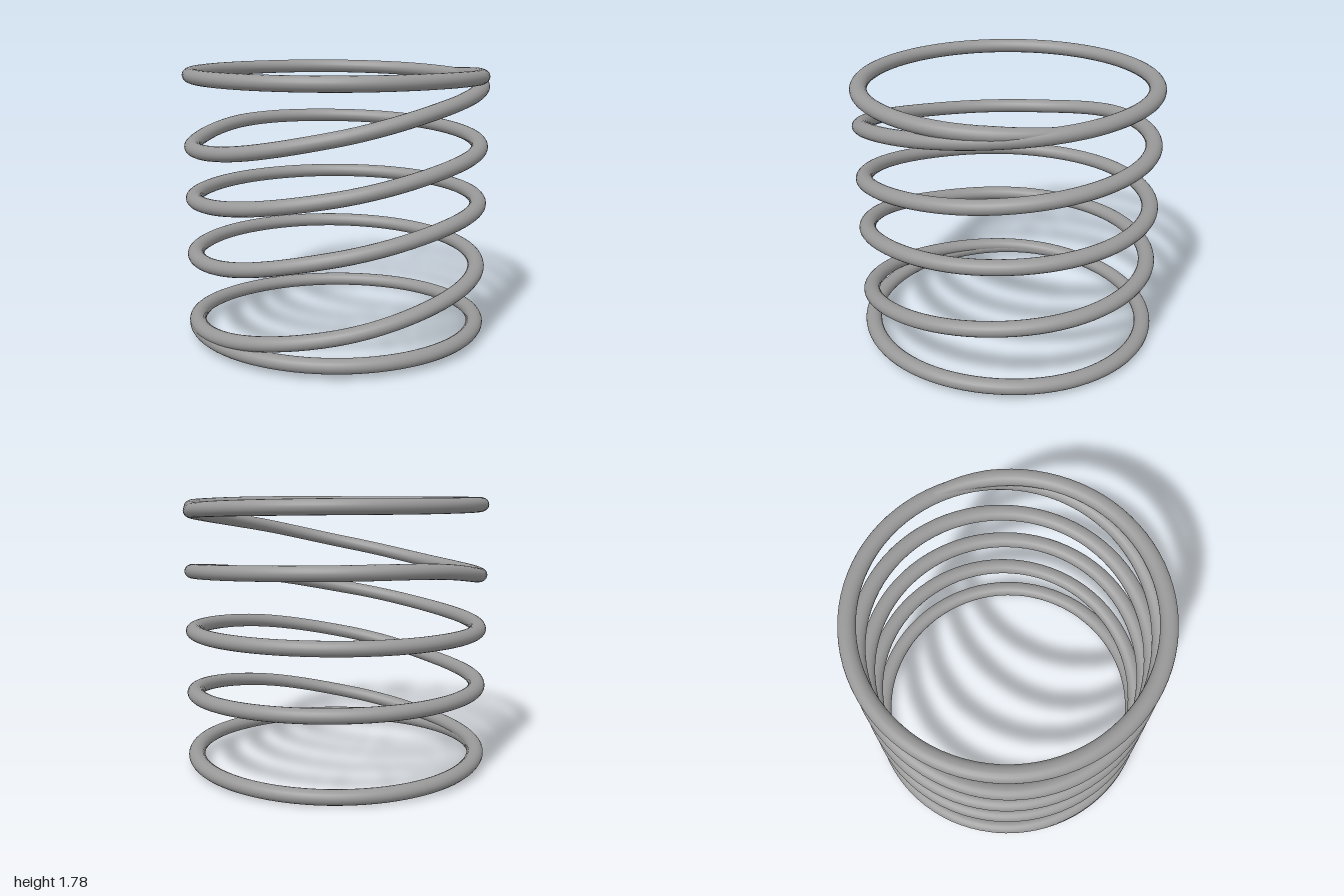
import * as THREE from 'three';

const COIL_RADIUS = 0.943;
const WIRE_RADIAL = 0.054;   // half width of the wire, seen from above
const WIRE_VERTICAL = 0.047; // half height of the wire
const STEPS = 480, SIDES = 20, TAPER_STEPS = 9;

// Wire height at every eighth of a turn; each row runs from front left to left.
const HEIGHTS = [
  0.057, 0.082,                                          // start, merged into the first coil
  0.082, 0.08, 0.08, 0.08, 0.06, 0.048, 0.056, 0.09,     // flat bottom coil
  0.135, 0.25, 0.395, 0.48, 0.515, 0.533, 0.54, 0.548,
  0.59, 0.725, 0.85, 0.90, 0.92, 0.927, 0.925, 0.925,
  0.965, 1.075, 1.205, 1.28, 1.33, 1.355, 1.35, 1.275,
  1.295, 1.42, 1.575, 1.67, 1.71, 1.728, 1.73, 1.73,
  1.73, 1.73, 1.73, 1.718, 1.71,                         // flat top coil, merged end
];

// Sweeps the oval wire section around the axis, following the height curve.
function coilGeometry() {
  const curve = new THREE.SplineCurve(HEIGHTS.map((h, i) => new THREE.Vector2(i, h)));
  const positions = [], indices = [];
  for (let i = 0; i <= STEPS; i++) {
    const p = curve.getPoint(i / STEPS);
    const angle = (p.x - 1) * Math.PI / 4;
    // Both wire ends taper away inside the neighbouring coil.
    const size = Math.sqrt(Math.min(1, i / TAPER_STEPS, (STEPS - i) / TAPER_STEPS));
    for (let j = 0; j < SIDES; j++) {
      const a = j / SIDES * Math.PI * 2;
      const r = COIL_RADIUS + size * WIRE_RADIAL * Math.cos(a);
      positions.push(-r * Math.cos(angle), p.y + size * WIRE_VERTICAL * Math.sin(a), r * Math.sin(angle));
      if (i === STEPS) continue;
      const k = i * SIDES + j, n = i * SIDES + (j + 1) % SIDES;
      indices.push(k, k + SIDES, n, n, k + SIDES, n + SIDES);
    }
  }
  const geometry = new THREE.BufferGeometry();
  geometry.setAttribute('position', new THREE.Float32BufferAttribute(positions, 3));
  geometry.setIndex(indices);
  geometry.computeVertexNormals();
  return geometry;
}

export function createModel() {
  const group = new THREE.Group();
  group.name = 'spring';
  const coil = new THREE.Mesh(coilGeometry(), new THREE.MeshStandardMaterial({ color: 0x989898 }));
  coil.name = 'coiledWire';
  group.add(coil);
  return group;
}
